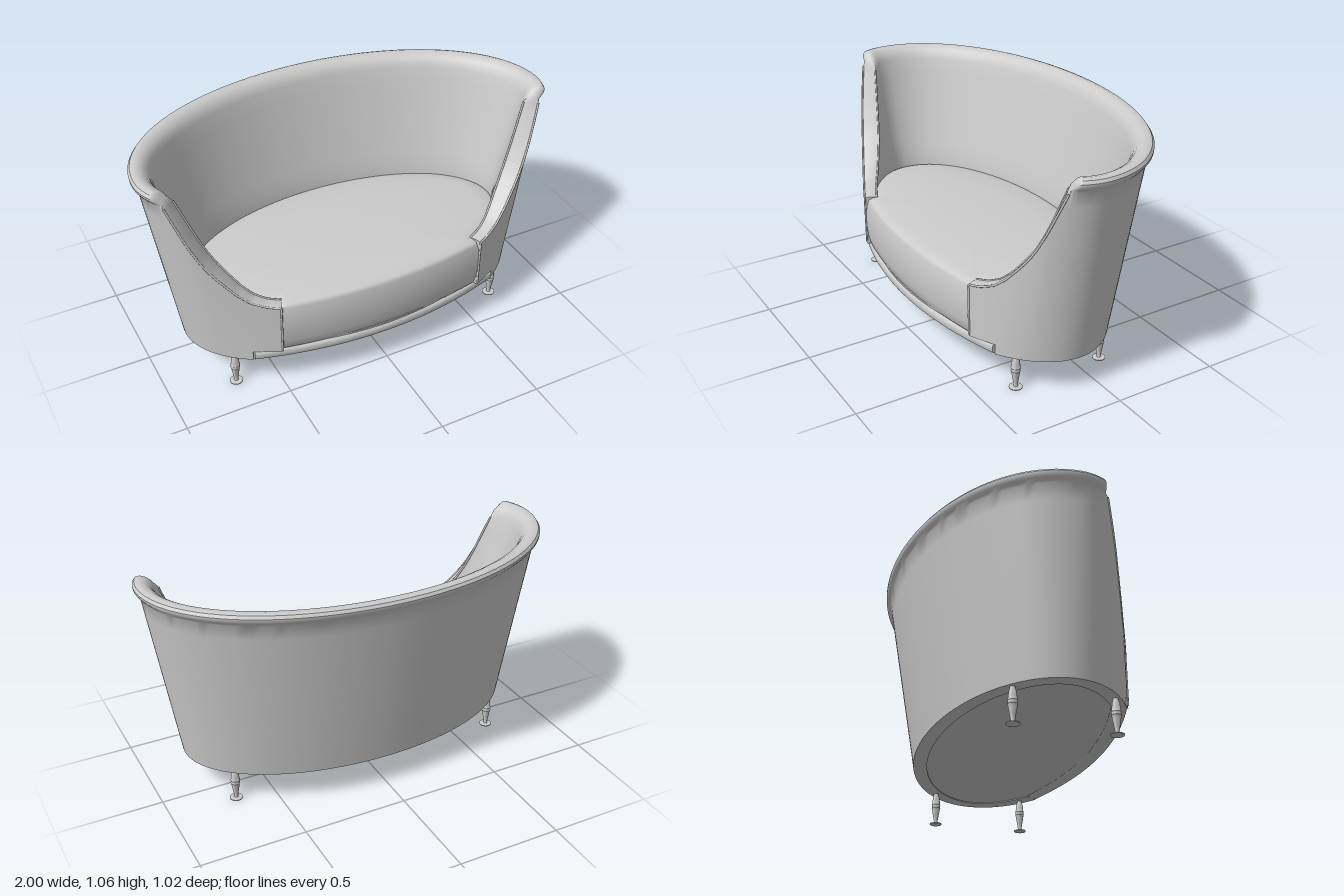
import * as THREE from 'three';
import { toCreasedNormals } from 'three/addons/utils/BufferGeometryUtils.js';

const CZ = 0.1; // centre of the oval plan
const BOTTOM = 0.163; // underside of the body
const { lerp, smoothstep } = THREE.MathUtils;
const material = new THREE.MeshStandardMaterial({ color: 0xcccccc });

// Skin closed cross-section loops, capping both ends
function loft(sections, crease) {
  const n = sections[0].length, last = sections.length - 1;
  const pos = [], index = [];
  sections.forEach(s => s.forEach(p => pos.push(p.x, p.y, p.z)));
  for (let i = 0; i < last; i++) {
    for (let j = 0; j < n; j++) {
      const k = (j + 1) % n, a = i * n, b = a + n;
      index.push(a + j, b + j, b + k, a + j, b + k, a + k);
    }
  }
  for (const i of [0, last]) {
    const c = sections[i].reduce((s, p) => s.add(p), new THREE.Vector3()).divideScalar(n);
    const ci = pos.length / 3;
    pos.push(c.x, c.y, c.z);
    for (let j = 0; j < n; j++) {
      const a = i * n + j, b = i * n + (j + 1) % n;
      if (i === 0) index.push(ci, a, b); else index.push(ci, b, a);
    }
  }
  const g = new THREE.BufferGeometry();
  g.setAttribute('position', new THREE.Float32BufferAttribute(pos, 3));
  g.setIndex(index);
  return toCreasedNormals(g, crease);
}

// Point on the flared oval shell: angle t from the front, height y, offset outwards
function shellPoint(t, y, offset, h = y) {
  const s = (y - BOTTOM) / (1 - BOTTOM), m = Math.min(t, 2 * Math.PI - t);
  const a = 0.84 + 0.132 * s * smoothstep(m, 0.653, 1.15);
  const b = Math.cos(t) < 0 ? 0.45 + 0.138 * s : 0.45;
  const nx = Math.sin(t) / a, nz = Math.cos(t) / b, l = Math.hypot(nx, nz);
  return new THREE.Vector3(a * Math.sin(t) + offset * nx / l, h, CZ + b * Math.cos(t) + offset * nz / l);
}

// Height of the arm edge by angle, swooping up from the seat to the back
const armEdge = [[0.653, 0.464], [0.74, 0.475], [0.826, 0.5], [0.9, 0.545], [0.968, 0.605],
  [1.02, 0.655], [1.065, 0.707], [1.127, 0.8], [1.19, 0.9], [1.254, 1]];
function edgeHeight(t) {
  const i = armEdge.findIndex(p => p[0] >= t);
  if (i < 0) return 1;
  if (i === 0) return armEdge[0][1];
  const [t0, y0] = armEdge[i - 1], [t1, y1] = armEdge[i];
  return lerp(y0, y1, (t - t0) / (t1 - t0));
}

// Wall thickness: greatest at seat level, slimmer below, above and towards the arm fronts
function thickness(m, y) {
  const full = y < 0.48 ? lerp(0.065, 0.115, (y - BOTTOM) / (0.48 - BOTTOM)) : 0.115 - 0.09 * (y - 0.48);
  return lerp(0.06, full, smoothstep(m, 0.72, 1.25));
}

// Rolled top edge: outward offset and rise, from outside to inside
const roll = [[0, 0], [0.007, 0.009], [0.017, 0.02], [0.025, 0.032], [0.026, 0.044], [0.017, 0.057],
  [0, 0.063], [-0.024, 0.058], [-0.046, 0.044], [-0.06, 0.022], [-0.068, 0]];

function shellSection(t) {
  const m = Math.min(t, 2 * Math.PI - t);
  const top = edgeHeight(m), k = smoothstep(m, 1.215, 1.34);
  const bottom = m < 0.848 ? 0.212 : BOTTOM; // notch for the front rail
  const pts = [], rows = 12;
  for (let i = 0; i < rows; i++) pts.push(shellPoint(t, lerp(bottom, top, i / rows), 0));
  roll.forEach(([o, dy], i) => {
    const u = i / (roll.length - 1);
    const offset = lerp(-thickness(m, top) * u, o, k);
    const rise = lerp(0.004 * Math.sin(Math.PI * u), dy, k);
    pts.push(shellPoint(t, top, offset, top + rise));
  });
  for (let i = rows - 1; i >= 0; i--) {
    const y = lerp(bottom, top, i / rows);
    pts.push(shellPoint(t, y, -thickness(m, y)));
  }
  return pts;
}

function shellGeometry() {
  const half = [];
  for (let i = 0; i <= 50; i++) half.push(lerp(0.653, 1.34, i / 50));
  half.push(0.8475, 0.8485);
  half.sort((a, b) => a - b);
  for (let i = 1; i <= 40; i++) half.push(lerp(1.34, Math.PI, i / 40));
  const all = half.concat(half.slice(0, -1).reverse().map(t => 2 * Math.PI - t));
  return loft(all.map(shellSection), 0.6);
}

// Piping along one edge of an arm, running down its front corner
function weltGeometry(side, inner) {
  const pts = [];
  for (let i = 0; i <= 5; i++) pts.push(shellPoint(0.655, lerp(0.22, 0.44, i / 5), inner ? -0.06 : 0));
  for (let i = 0; i <= 24; i++) {
    const t = lerp(0.655, 1.25, i / 24), y = edgeHeight(t);
    pts.push(shellPoint(t, y, inner ? -thickness(t, y) : 0));
  }
  pts.forEach(p => { p.x *= side; });
  return new THREE.TubeGeometry(new THREE.CatmullRomCurve3(pts), 90, 0.005, 8);
}

// Oval seat cushion whose front pushes out between the arms
function cushionGeometry() {
  const layers = [[0.98, 0.205], [1.005, 0.218], [1.025, 0.26], [1.04, 0.32], [1.037, 0.38], [1.025, 0.42],
    [1.012, 0.445], [1.005, 0.455], [0.985, 0.462], [0.9, 0.471], [0.6, 0.48], [0.3, 0.484], [0.05, 0.485]];
  const count = 180;
  return loft(layers.map(([k, y]) => Array.from({ length: count }, (_, i) => {
    const t = i / count * 2 * Math.PI;
    const x = -0.77 * Math.sin(t);
    let z = 0.4 * Math.cos(t);
    if (z > 0 && Math.abs(x) < 0.505) z = 0.338 + 0.055 * (1 - (x / 0.505) ** 2);
    return new THREE.Vector3(x * k, y, CZ + z * k);
  })), 0.7);
}

// Rounded rail curving across the front
function railGeometry() {
  const sections = [];
  for (let i = 0; i <= 40; i++) {
    const x = lerp(-0.625, 0.625, i / 40);
    const front = 0.408 + 0.1 * (1 - (x / 0.625) ** 2);
    sections.push(Array.from({ length: 20 }, (_, j) => {
      const a = j / 20 * 2 * Math.PI, c = Math.cos(a), s = Math.sin(a);
      return new THREE.Vector3(x,
        0.188 + 0.025 * Math.sign(s) * Math.abs(s) ** 0.5,
        front - 0.04 + 0.04 * Math.sign(c) * Math.abs(c) ** 0.5);
    }));
  }
  return loft(sections, 0.8);
}

// Turned leg with a bead band and a flat foot
function legGeometry() {
  const profile = [[0, 0], [0.03, 0], [0.03, 0.004], [0.01, 0.007], [0.009, 0.015], [0.013, 0.04],
    [0.019, 0.075], [0.02, 0.084], [0.022, 0.087], [0.02, 0.091], [0.02, 0.098], [0.022, 0.102],
    [0.02, 0.106], [0.019, 0.12], [0.016, 0.143], [0.011, 0.162], [0.011, 0.18]];
  return toCreasedNormals(new THREE.LatheGeometry(profile.map(p => new THREE.Vector2(...p)), 24), 0.7);
}

export function createModel() {
  const group = new THREE.Group();
  const add = (name, geometry) => {
    const mesh = new THREE.Mesh(geometry, material);
    mesh.name = name;
    group.add(mesh);
    return mesh;
  };

  add('backAndArms', shellGeometry());
  for (const side of [-1, 1]) {
    add('armOuterPiping', weltGeometry(side, false));
    add('armInnerPiping', weltGeometry(side, true));
  }
  add('seatCushion', cushionGeometry());
  add('frontRail', railGeometry());

  // Base panel, slightly recessed underneath
  const base = add('basePanel', new THREE.CylinderGeometry(1, 1, 0.05, 96));
  base.scale.set(0.8, 1, 0.4);
  base.position.set(0, 0.193, CZ);

  // Four legs
  const leg = legGeometry();
  for (const x of [-0.694, 0.682]) {
    for (const z of [0.325, -0.12]) {
      add(z > 0 ? 'frontLeg' : 'backLeg', leg).position.set(x, 0, z);
    }
  }
  return group;
}
